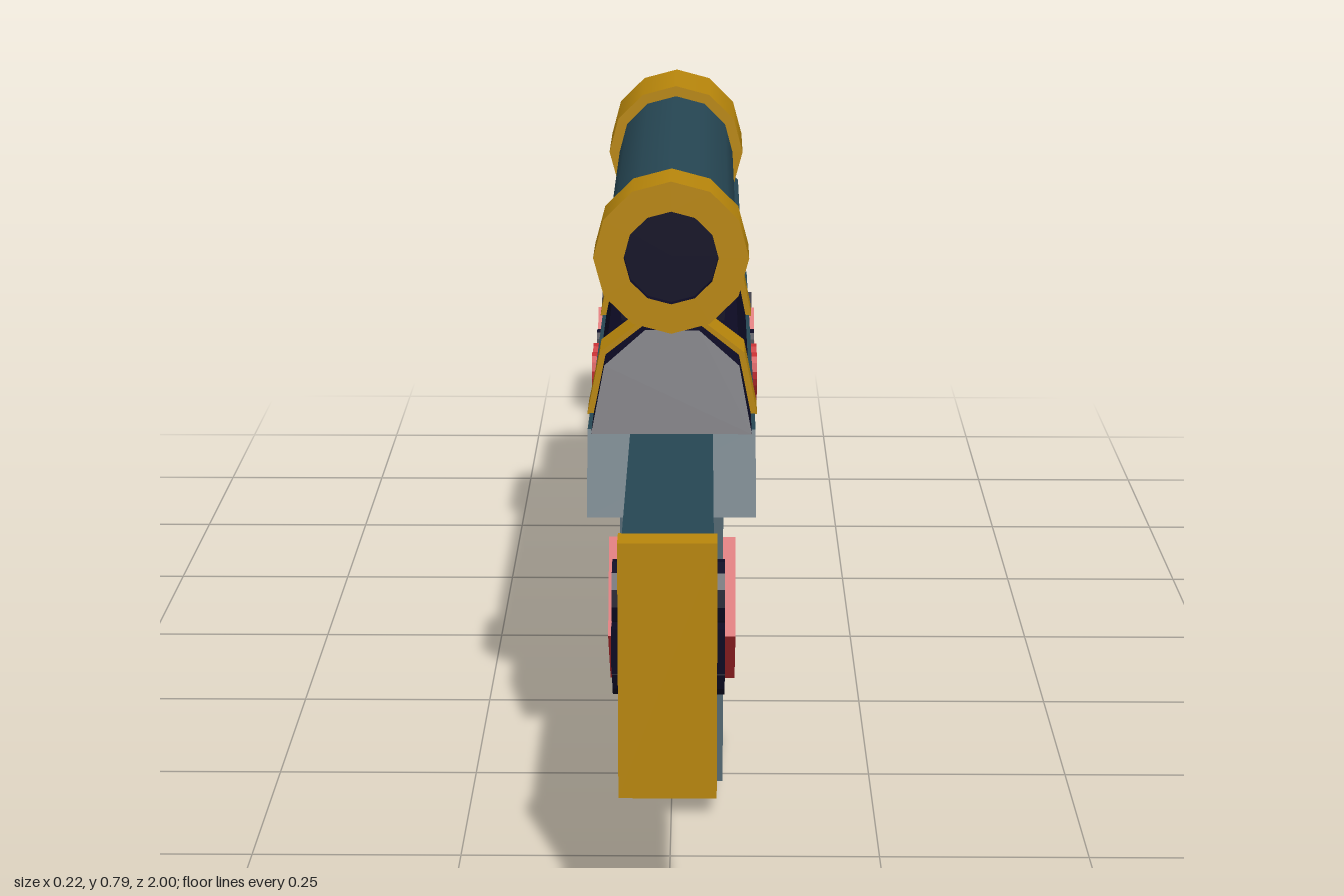
import * as THREE from 'three';

const material = (name, color, side = THREE.FrontSide) => {
  const m = new THREE.MeshStandardMaterial({ color, side });
  m.name = name;
  return m;
};

export function createModel() {
  const model = new THREE.Group();
  model.name = 'toyRifle';
  const teal = material('teal', 0x264653);
  const dark = material('midnight', 0x0d0b24);
  const gold = material('gold', 0xb8860b);
  const red = material('red', 0xc62f32);

  const add = (name, geometry, mat) => {
    const mesh = new THREE.Mesh(geometry, mat);
    mesh.name = name;
    model.add(mesh);
    return mesh;
  };
  const polygon = (pts) => new THREE.Shape(pts.map(([a, b]) => new THREE.Vector2(a, b)));
  const extrude = (shape, depth) =>
    new THREE.ExtrudeGeometry(shape, { depth, bevelEnabled: false, curveSegments: 6 });

  // Side profile given as [z, y], extruded across x
  const slab = (name, pts, halfWidth, mat, hole) => {
    const shape = polygon(pts);
    if (hole) shape.holes.push(new THREE.Path(hole.map(([a, b]) => new THREE.Vector2(a, b))));
    const g = extrude(shape, halfWidth * 2).translate(0, 0, -halfWidth).rotateY(-Math.PI / 2);
    return add(name, g, mat);
  };

  // Cross-section given as the right half [x, y], extruded along z; slope slants one end
  const section = (name, half, z0, z1, mat, slant) => {
    const pts = [...half, ...half.map(([x, y]) => [-x, y]).reverse()];
    const g = extrude(polygon(pts), z1 - z0).translate(0, 0, z0);
    if (slant) {
      const p = g.attributes.position;
      for (let i = 0; i < p.count; i++) {
        if (p.getZ(i) > z1 - 0.001) p.setZ(i, z1 - (p.getY(i) - half[0][1]) * slant);
      }
      g.computeVertexNormals();
    }
    return add(name, g, mat);
  };

  // Stock with its opening, and butt plate
  slab('stock', [[0.966, 0.475], [0.56, 0.475], [0.56, 0.24], [0.966, 0.19]], 0.05, teal,
    [[0.75, 0.435], [0.75, 0.25], [0.575, 0.268], [0.575, 0.435]]);
  slab('buttPlate', [[1, 0.478], [0.966, 0.478], [0.966, 0.188], [1, 0.183]], 0.054, gold);

  // Lower frame, grip, magazine, trigger group
  slab('lowerFrame', [[0.56, 0.475], [-0.26, 0.475], [-0.26, 0.378], [0.607, 0.378]], 0.102, teal);
  slab('grip', [[0.565, 0.4], [0.665, 0.06], [0.383, 0], [0.322, 0.4]], 0.063, teal);
  slab('magazine', [[0.135, 0.39], [0.092, 0.14], [-0.162, 0.193], [-0.132, 0.39]], 0.056, teal);
  slab('triggerGuard', [[0.35, 0.235], [0.213, 0.235], [0.125, 0.38], [0.155, 0.38],
    [0.228, 0.264], [0.35, 0.264]], 0.04, teal);
  slab('trigger', [[0.35, 0.38], [0.23, 0.38], [0.325, 0.264], [0.35, 0.264]], 0.025, dark);

  // Underside rail and its two lugs
  slab('underRail', [[0.12, 0.39], [-0.465, 0.39], [-0.435, 0.35], [0.12, 0.35]], 0.06, teal);
  for (const z of [-0.205, -0.318]) {
    slab('railLug', [[z + 0.04, 0.355], [z + 0.03, 0.322], [z - 0.03, 0.322], [z - 0.04, 0.355]], 0.045, teal);
  }

  // Receiver, front housing, gold bands and top cover
  section('receiver', [[0.097, 0.475], [0.082, 0.55], [0.033, 0.589]], -0.17, 0.58, dark, 0.52);
  section('frontHousing', [[0.055, 0.385], [0.098, 0.475], [0.084, 0.556]], -0.543, -0.1, dark);
  for (const [z0, z1] of [[0.428, 0.49], [-0.065, 0]]) {
    section('band', [[0.105, 0.474], [0.089, 0.553], [0.036, 0.594]], z0, z1, gold);
  }
  section('topCover', [[0.092, 0.553], [0.036, 0.599]], -0.55, -0.15, teal, 0.8);

  // Scope mount, tapering inwards at its base
  const mount = slab('scopeMount', [[0.4, 0.695], [0.4, 0.57], [0.04, 0.57], [0.055, 0.59], [0.1, 0.695]], 0.072, dark);
  const mp = mount.geometry.attributes.position;
  for (let i = 0; i < mp.count; i++) if (mp.getY(i) < 0.65) mp.setX(i, mp.getX(i) * 0.9);
  mount.geometry.computeVertexNormals();

  // Round parts running along z
  const rod = (name, r, z0, z1, y, mat, sides = 12) =>
    add(name, new THREE.CylinderGeometry(r, r, z1 - z0, sides).rotateX(Math.PI / 2)
      .translate(0, y, (z0 + z1) / 2), mat);
  // Hollow collar: outer wall with flat ring ends, and a dark bore closed by a disc
  const collar = (name, r, bore, z0, z1, y, mat, depth, open) => {
    const wall = new THREE.CylinderGeometry(r, r, z1 - z0, 12, 1, true)
      .rotateX(Math.PI / 2).translate(0, y, (z0 + z1) / 2);
    add(name, wall, mat);
    for (const end of [-1, 1]) {
      const z = end < 0 ? z0 : z1;
      const isOpen = end === open;
      const face = isOpen ? new THREE.RingGeometry(bore, r, 12, 1, Math.PI / 2)
        : new THREE.CircleGeometry(r, 12, Math.PI / 2);
      if (end < 0) face.rotateY(Math.PI);
      add(name + 'End', face.translate(0, y, z), mat);
      if (!isOpen) continue;
      const inner = new THREE.CylinderGeometry(bore, bore, depth, 12, 1, true);
      inner.scale(-1, 1, 1).rotateX(Math.PI / 2).translate(0, y, z - end * depth / 2);
      add(name + 'Bore', inner, dark);
      const lens = new THREE.CircleGeometry(bore, 12);
      if (end < 0) lens.rotateY(Math.PI);
      add(name + 'Lens', lens.translate(0, y, z - end * depth), dark);
    }
  };
  rod('barrel', 0.05, -0.87, -0.52, 0.455, dark);
  collar('muzzle', 0.081, 0.052, -1, -0.848, 0.455, teal, 0.05, -1);
  rod('scopeTube', 0.078, -0.04, 0.545, 0.7, teal);
  collar('scopeEyepiece', 0.092, 0.056, 0.533, 0.61, 0.7, gold, 0.012, 1);
  collar('scopeObjective', 0.092, 0.056, -0.166, -0.03, 0.7, gold, 0.012, -1);

  // Card suit shapes, one unit tall
  const disc = (x, y, r) => new THREE.Shape().absarc(x, y, r, 0, Math.PI * 2);
  const stem = polygon([[-0.06, 0.05], [-0.17, -0.5], [0.17, -0.5], [0.06, 0.05]]);
  const heartShape = (flip) => {
    const s = new THREE.Shape();
    const k = flip ? -0.78 : 1;
    const o = flip ? 0.08 : 0;
    const v = (y) => y * k + o;
    s.moveTo(0, v(-0.5));
    s.bezierCurveTo(-0.3, v(-0.2), -0.56, v(0), -0.54, v(0.25));
    s.bezierCurveTo(-0.5, v(0.58), -0.12, v(0.58), 0, v(0.28));
    s.bezierCurveTo(0.12, v(0.58), 0.5, v(0.58), 0.54, v(0.25));
    s.bezierCurveTo(0.56, v(0), 0.3, v(-0.2), 0, v(-0.5));
    return s;
  };
  const suits = {
    heart: [heartShape(false)],
    spade: [heartShape(true), stem],
    club: [disc(0, 0.26, 0.24), disc(-0.26, -0.1, 0.24), disc(0.26, -0.1, 0.24), disc(0, 0.03, 0.16), stem],
    diamond: [polygon([[0, 0.5], [-0.38, 0], [0, -0.5], [0.38, 0]])],
  };

  // Raised emblems, mirrored on both sides
  const emblem = (suit, z, y, size, angle, outer, depth, mat) => {
    for (const side of [-1, 1]) {
      const g = extrude(suits[suit], depth).scale(size, size, 1).rotateZ(angle)
        .translate(z, y, -depth / 2).rotateY(-Math.PI / 2)
        .translate(side * (outer - depth / 2), 0, 0);
      add(suit + 'Emblem', g, mat);
    }
  };
  emblem('heart', 0.158, 0.428, 0.083, 0, 0.11, 0.012, red);
  emblem('club', 0.045, 0.425, 0.083, 0, 0.108, 0.01, dark);
  emblem('diamond', -0.063, 0.425, 0.09, 0, 0.11, 0.012, red);
  emblem('spade', -0.17, 0.425, 0.087, 0, 0.108, 0.01, dark);
  emblem('diamond', 0.477, 0.215, 0.2, -0.13, 0.079, 0.02, red);
  emblem('club', 0.858, 0.338, 0.16, 1.48, 0.063, 0.017, dark);
  emblem('spade', -0.01, 0.265, 0.15, 1.4, 0.064, 0.012, dark);

  // Heart lying on the top cover
  const topHeart = extrude(suits.heart, 0.02).scale(0.1, 0.1, 1)
    .rotateX(-Math.PI / 2).translate(0, 0.588, -0.44);
  add('topHeart', topHeart, red);

  // Inward-facing bores need their winding turned
  model.traverse((o) => {
    if (o.name.endsWith('Bore')) {
      o.geometry.computeVertexNormals();
    }
  });
  return model;
}
